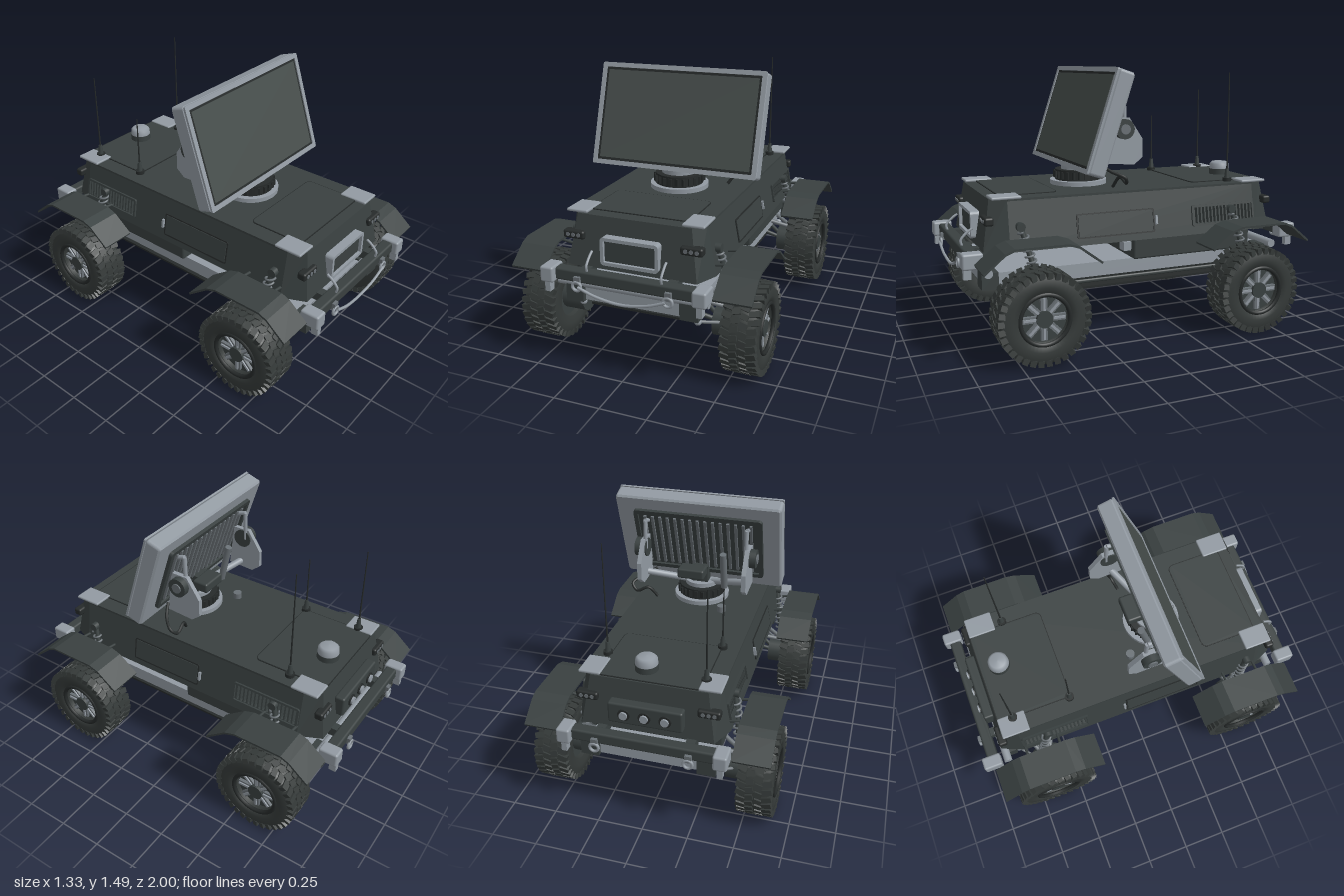
import * as THREE from 'three';
import { mergeGeometries } from 'three/addons/utils/BufferGeometryUtils.js';
import { RoundedBoxGeometry } from 'three/addons/geometries/RoundedBoxGeometry.js';

const paint = (name, color) => Object.assign(new THREE.MeshStandardMaterial({ color }), { name });
const V = (x, y, z) => new THREE.Vector3(x, y, z);

export function createModel() {
  const hull = paint('hull charcoal', 0x394040), screenMat = paint('screen grey', 0x474e4c);
  const light = paint('light grey', 0x929aa2), mid = paint('mid grey', 0x697075);
  const rubber = paint('rubber', 0x353a39), black = paint('black', 0x262a2a);
  const model = new THREE.Group();
  model.name = 'roverVehicle';

  const add = (name, mat, geo, parent = model) => {
    const m = new THREE.Mesh(geo, mat);
    m.name = name;
    parent.add(m);
    return m;
  };
  const box = (name, mat, [w, h, d], [x, y, z], parent) =>
    add(name, mat, new THREE.BoxGeometry(w, h, d).translate(x, y, z), parent);
  const round = (name, mat, [w, h, d], [x, y, z], parent, r = 0.012) =>
    add(name, mat, new RoundedBoxGeometry(w, h, d, 2, r).translate(x, y, z), parent);
  const rod = (name, mat, a, b, r, parent, r2 = r) => {
    const dir = b.clone().sub(a);
    const m = add(name, mat, new THREE.CylinderGeometry(r2, r, dir.length(), 20), parent);
    m.position.copy(a).add(b).multiplyScalar(0.5);
    m.quaternion.setFromUnitVectors(V(0, 1, 0), dir.normalize());
    return m;
  };
  const tube = (name, mat, pts, r, parent, n = 40) =>
    add(name, mat, new THREE.TubeGeometry(new THREE.CatmullRomCurve3(pts), n, r, 8), parent);
  const poly = (pts) => new THREE.Shape(pts.map(([a, b]) => new THREE.Vector2(a, b)));
  // Extrudes a (z, y) outline across x
  const sideExtrude = (shape, x0, x1) =>
    new THREE.ExtrudeGeometry(shape, { depth: x1 - x0, bevelEnabled: false }).rotateY(-Math.PI / 2).translate(x1, 0, 0);
  // Rounded rectangular outline, optionally hollow
  const rectShape = (w, h, r) => {
    const s = new THREE.Shape(), a = w / 2 - r, b = h / 2 - r;
    s.absarc(a, b, r, 0, Math.PI / 2).absarc(-a, b, r, Math.PI / 2, Math.PI);
    s.absarc(-a, -b, r, Math.PI, Math.PI * 1.5).absarc(a, -b, r, Math.PI * 1.5, Math.PI * 2);
    return s;
  };
  const frameGeo = (w, h, t, depth, r = 0.02) => {
    const s = rectShape(w, h, r);
    s.holes.push(rectShape(w - 2 * t, h - 2 * t, Math.max(r - t, 0.004)));
    return new THREE.ExtrudeGeometry(s, { depth, bevelEnabled: false, curveSegments: 5 });
  };

  // Hull with vent slots running through it and tapered sides
  const halfWidth = (y) => 0.415 - ((y - 0.55) / 0.27) * 0.05;
  const outline = poly([[-0.74, 0.55], [0.74, 0.55], [0.74, 0.82], [-0.74, 0.82]]);
  for (let i = 0; i < 16; i++) {
    const z = -0.35 - i * 0.0235;
    outline.holes.push(poly([[z, 0.61], [z, 0.7], [z - 0.014, 0.7], [z - 0.014, 0.61]]));
  }
  const hullGeo = sideExtrude(outline, -1, 1), hp = hullGeo.attributes.position;
  for (let i = 0; i < hp.count; i++) hp.setX(i, hp.getX(i) * halfWidth(hp.getY(i)));
  hullGeo.computeVertexNormals();
  add('hull', hull, hullGeo);
  box('deckLip', hull, [0.745, 0.012, 1.48], [0, 0.819, 0]);

  // Both ends: hull nose, bumper, tow hooks and corner caps
  for (const s of [1, -1]) {
    const end = new THREE.Group();
    end.name = s > 0 ? 'frontEnd' : 'rearEnd';
    end.rotation.y = s > 0 ? 0 : Math.PI;
    model.add(end);
    const nose = new THREE.BoxGeometry(2, 0.27, 1).toNonIndexed(), p = nose.attributes.position;
    for (let i = 0; i < p.count; i++) {
      const top = p.getY(i) > 0, out = p.getZ(i) > 0, y = top ? 0.82 : 0.55;
      p.setXYZ(i, p.getX(i) * halfWidth(y) * (out ? 0.86 : 1), y, out ? (top ? 0.825 : 0.87) : 0.74);
    }
    nose.computeVertexNormals();
    add('nose', hull, nose, end);
    round('bumper', hull, [0.78, 0.065, 0.065], [0, 0.53, 0.935], end);
    rod('crossTube', light, V(-0.42, 0.45, 0.86), V(0.42, 0.45, 0.86), 0.024, end);
    box('chassisEnd', light, [0.54, 0.07, 0.02], [0, 0.39, 0.85], end);
    for (const x of [-1, 1]) {
      round('bumperBlock', light, [0.075, 0.085, 0.11], [x * 0.415, 0.53, 0.945], end);
      box('blockStem', light, [0.03, 0.07, 0.04], [x * 0.415, 0.47, 0.97], end);
      box('bumperMount', hull, [0.05, 0.05, 0.1], [x * 0.24, 0.53, 0.88], end);
      box('chassisCorner', hull, [0.1, 0.09, 0.09], [x * 0.32, 0.395, 0.84], end);
      add('towRing', light, new THREE.TorusGeometry(0.024, 0.008, 8, 20).translate(x * 0.25, 0.485, 0.982), end);
      box('towLug', mid, [0.035, 0.04, 0.03], [x * 0.25, 0.515, 0.97], end);
      round('cornerCap', light, [0.12, 0.016, 0.16], [x * 0.32, 0.83, 0.745], end, 0.007);
      round('cornerLamp', black, [0.12, 0.045, 0.05], [x * 0.325, 0.712, 0.84], end);
      for (const k of [-1, 0, 1]) rod('lampBulb', mid, V(x * 0.325 + k * 0.03, 0.712, 0.86), V(x * 0.325 + k * 0.03, 0.712, 0.868), 0.011, end);
    }
  }
  // Front grille window, handles and sagging tow cable
  add('windowFrame', light, frameGeo(0.32, 0.15, 0.018, 0.05).translate(0, 0.655, 0.84));
  box('windowPane', hull, [0.29, 0.12, 0.03], [0, 0.655, 0.858]);
  for (const x of [-0.205, 0.205])
    tube('frontHandle', light, [V(x, 0.56, 0.95), V(x, 0.59, 0.955), V(x, 0.63, 0.92), V(x, 0.65, 0.89)], 0.007);
  tube('towCable', light, [V(-0.24, 0.485, 0.99), V(-0.14, 0.45, 0.99), V(0, 0.428, 0.985), V(0.14, 0.45, 0.99), V(0.24, 0.485, 0.99)], 0.008);
  // Rear connector panel
  round('rearPanel', hull, [0.4, 0.12, 0.06], [0, 0.66, -0.87]);
  for (const x of [-0.11, 0, 0.11]) {
    rod('portRing', black, V(x, 0.66, -0.89), V(x, 0.66, -0.908), 0.033);
    rod('port', light, V(x, 0.66, -0.9), V(x, 0.66, -0.918), 0.022);
  }

  // Chassis, belly plates and battery box
  box('chassis', light, [0.68, 0.08, 1.68], [0, 0.39, 0]);
  box('chassisUnderside', black, [0.64, 0.02, 1.6], [0, 0.343, 0]);
  round('bellyPlate', hull, [0.59, 0.024, 1.5], [0, 0.312, 0], model, 0.01);
  box('skidPlate', black, [0.6, 0.012, 1.5], [0, 0.278, 0]);
  round('batteryBox', hull, [0.74, 0.125, 0.75], [0, 0.49, -0.355]);
  for (const x of [-0.3, 0.3]) box('batteryLatch', light, [0.06, 0.05, 0.05], [x, 0.497, 0.04]);

  // Deck panels
  for (const [d, z, h] of [[0.32, 0.6, 0.006], [0.43, -0.605, 0.006]]) {
    const panel = new THREE.ExtrudeGeometry(rectShape(0.55, d, 0.03), { depth: h, bevelEnabled: false });
    add('deckPanel', hull, panel.rotateX(-Math.PI / 2).translate(0, 0.825, z));
    add('panelSeam', black, frameGeo(0.56, d + 0.01, 0.008, 0.004, 0.034).rotateX(-Math.PI / 2).translate(0, 0.826, z));
  }
  // Side doors, latches and vent frames
  for (const s of [1, -1]) {
    const side = new THREE.Group();
    side.name = s > 0 ? 'leftSide' : 'rightSide';
    side.position.set(s * halfWidth(0.652), 0.652, 0);
    side.rotation.set(0, s * Math.PI / 2, 0);
    model.add(side);
    const tilt = new THREE.Group();
    tilt.rotation.x = -0.183;
    side.add(tilt);
    add('doorSeam', black, frameGeo(0.46, 0.135, 0.008, 0.005, 0.012).translate(-s * 0.14, 0, 0), tilt);
    box('doorPanel', hull, [0.44, 0.115, 0.012], [-s * 0.14, 0, 0], tilt);
    box('doorLatch', light, [0.012, 0.05, 0.02], [s * 0.1, 0, 0.005], tilt);
    add('ventFrame', hull, frameGeo(0.41, 0.12, 0.012, 0.012, 0.012).translate(s * 0.531, 0.003, 0), tilt);
  }

  // Wheel, outward along +x
  const tread = [];
  for (let i = 0; i < 34; i++) for (let k = 0; k < 4; k++) {
    const edge = k === 0 || k === 3;
    const g = new THREE.BoxGeometry(edge ? 0.052 : 0.042, edge ? 0.034 : 0.022, 0.03);
    g.rotateY((k % 2 ? 1 : -1) * 0.25).translate(-0.069 + k * 0.046, edge ? 0.228 : 0.236, 0);
    tread.push(g.rotateX(((i + (k % 2) / 2) / 34) * Math.PI * 2));
  }
  const treadGeo = mergeGeometries(tread);
  const lathe = (pts, n = 48) =>
    new THREE.LatheGeometry(pts.map(([r, x]) => new THREE.Vector2(r, x)), n).rotateZ(-Math.PI / 2);
  const tyreGeo = lathe([[0.13, -0.085], [0.17, -0.094], [0.215, -0.092], [0.236, -0.075], [0.238, 0],
    [0.236, 0.075], [0.215, 0.092], [0.17, 0.094], [0.13, 0.085], [0.125, 0.04], [0.125, -0.04], [0.13, -0.085]]);
  const ringGeo = new THREE.TorusGeometry(0.131, 0.012, 8, 40).rotateY(Math.PI / 2).translate(0.084, 0, 0);
  const makeWheel = (s, x, z) => {
    const w = new THREE.Group();
    w.name = 'wheel';
    w.position.set(s * x, 0.25, z);
    w.rotation.y = s > 0 ? 0 : Math.PI;
    model.add(w);
    add('tyre', rubber, tyreGeo, w);
    add('tread', rubber, treadGeo, w);
    add('rimEdge', black, ringGeo, w);
    rod('rimDisc', hull, V(-0.06, 0, 0), V(0.045, 0, 0), 0.127, w);
    for (let i = 0; i < 8; i++) {
      const spoke = new THREE.Group();
      spoke.rotation.x = (i * Math.PI) / 4;
      w.add(spoke);
      box('spoke', mid, [0.025, 0.08, 0.034], [0.05, 0.075, 0], spoke);
      box('spokeRidge', light, [0.012, 0.07, 0.012], [0.064, 0.075, 0], spoke);
    }
    rod('hubCap', hull, V(0.04, 0, 0), V(0.08, 0, 0), 0.044, w);
    rod('hubMotor', hull, V(-0.19, 0, 0), V(-0.05, 0, 0), 0.08, w);
  };

  // Wheels, fenders, springs and arms at each corner
  const arch = [[0.31, 0.52], [0.2, 0.61], [0.15, 0.63], [-0.13, 0.63], [-0.19, 0.61], [-0.31, 0.52]];
  for (const s of [1, -1]) for (const f of [1, -1]) {
    const z = f * 0.632;
    makeWheel(s, 0.567, z);
    const lower = arch.map(([a, y]) => [a * 0.985, y - 0.011]).reverse();
    const fender = poly([...arch, ...lower].map(([a, y]) => [z + f * a, y]));
    add('fender', hull, sideExtrude(fender, s > 0 ? 0.462 : -0.66, s > 0 ? 0.66 : -0.462));
    for (const d of [-0.1, 0.1]) rod('fenderStay', hull, V(s * 0.37, 0.6, z + d), V(s * 0.48, 0.618, z + d), 0.008);
    // Coil spring strut
    const a = V(s * 0.395, 0.69, z + 0.05), b = V(s * 0.45, 0.38, z - 0.03), coil = [];
    for (let i = 0; i <= 84; i++) {
      const t = i / 12 * Math.PI * 2;
      coil.push(a.clone().lerp(b, 0.12 + 0.7 * i / 84).add(V(Math.cos(t) * 0.025, 0, Math.sin(t) * 0.025)));
    }
    tube('spring', mid, coil, 0.006, model, 160);
    rod('damper', hull, a, b, 0.014);
    rod('springCap', hull, V(s * 0.36, 0.68, z + 0.05), V(s * 0.42, 0.68, z + 0.05), 0.024);
    for (const d of [-0.07, 0.07]) {
      rod('upperArm', mid, V(s * 0.33, 0.385, z + d), V(s * 0.47, 0.33, z), 0.013);
      rod('lowerArm', hull, V(s * 0.29, 0.31, z + d), V(s * 0.42, 0.24, z), 0.013);
    }
    add('steerBall', light, new THREE.SphereGeometry(0.02, 16, 12).translate(s * 0.33, 0.3, z + f * 0.15));
    rod('steerLink', mid, V(s * 0.33, 0.3, z + f * 0.15), V(s * 0.43, 0.27, z + f * 0.06), 0.009);
  }

  // Turntable pedestal
  const disc = (name, mat, r, y0, y1) => add(name, mat, new THREE.CylinderGeometry(r, r, y1 - y0, 40).translate(0, (y0 + y1) / 2, 0.215));
  disc('turntableBase', light, 0.165, 0.82, 0.85);
  disc('turntableRing', black, 0.135, 0.85, 0.91);
  for (let i = 0; i < 24; i++) {
    const a = i / 24 * Math.PI * 2;
    add('ringLug', black, new THREE.BoxGeometry(0.012, 0.04, 0.02).rotateY(a).translate(Math.cos(a) * 0.136, 0.88, 0.215 + Math.sin(a) * 0.136));
  }
  disc('turntableTop', light, 0.1, 0.91, 0.935);

  // Tilted display
  const display = new THREE.Group();
  display.name = 'display';
  display.position.set(0, 1.205, 0.21);
  display.rotation.x = -0.315;
  model.add(display);
  add('displayFrame', light, new THREE.ExtrudeGeometry(rectShape(0.95, 0.56, 0.008), {
    depth: 0.076, bevelSize: 0.01, bevelThickness: 0.01, bevelSegments: 1, curveSegments: 3 }).translate(0, 0, -0.048), display);
  box('screenBorder', black, [0.92, 0.53, 0.006], [0, 0, 0.039], display);
  box('screen', screenMat, [0.89, 0.5, 0.006], [0, 0, 0.042], display);
  add('displayRim', light, frameGeo(0.97, 0.58, 0.026, 0.012, 0.01).translate(0, 0, 0.036), display);
  box('backPanel', hull, [0.74, 0.4, 0.008], [0, 0, -0.06], display);
  for (let i = 0; i < 15; i++) box('coolingFin', mid, [0.016, 0.34, 0.016], [-0.315 + i * 0.045, 0, -0.068], display);
  add('backFrame', hull, frameGeo(0.76, 0.42, 0.025, 0.02).translate(0, 0, -0.078), display);

  // Yoke carrying the display
  const plate = poly([[0.16, 0.97], [0, 0.96], [-0.05, 1], [-0.05, 1.1], [0.03, 1.22], [0.13, 1.22]]);
  for (const s of [1, -1]) {
    add('yokePlate', light, sideExtrude(plate, s * 0.31 - 0.013, s * 0.31 + 0.013));
    rod('pivotKnob', hull, V(s * 0.29, 1.16, 0.07), V(s * 0.36, 1.16, 0.07), 0.055);
    rod('pivotBolt', mid, V(s * 0.36, 1.16, 0.07), V(s * 0.367, 1.16, 0.07), 0.028);
    rod('tiltStrut', light, V(s * 0.3, 1.16, 0.05), V(s * 0.3, 1.33, 0.055), 0.012);
    rod('strutTop', light, V(s * 0.3, 1.33, 0.055), V(s * 0.3, 1.31, 0.12), 0.012);
    rod('yokeArm', light, V(s * 0.07, 0.925, 0.2), V(s * 0.31, 1.0, 0.08), 0.02);
  }
  box('yokePost', hull, [0.1, 0.13, 0.07], [0, 0.97, 0.19]);
  round('controlBox', hull, [0.16, 0.06, 0.1], [0.03, 1.02, 0.1]);
  rod('tiltActuator', mid, V(-0.16, 0.93, 0.13), V(-0.16, 1.16, 0.08), 0.02);
  rod('cableSocket', mid, V(-0.17, 0.825, 0.02), V(-0.17, 0.86, 0.02), 0.025);
  tube('displayCable', black, [V(0.25, 0.83, 0.1), V(0.3, 0.89, 0.08), V(0.37, 0.865, 0.07), V(0.405, 0.9, 0.09), V(0.36, 0.93, 0.15), V(0.28, 0.97, 0.2)], 0.009);

  // Whip antennas and positioning dome
  for (const [x, z, top] of [[-0.28, -0.395, 1.18], [0.295, -0.615, 1.46], [-0.28, -0.735, 1.34]]) {
    rod('antennaFoot', black, V(x, 0.82, z), V(x, 0.845, z), 0.026);
    rod('antennaBase', hull, V(x, 0.845, z), V(x, 0.9, z), 0.016, model, 0.01);
    rod('antennaWhip', black, V(x, 0.9, z), V(x, top, z), 0.005, model, 0.003);
  }
  rod('domeBase', hull, V(0.045, 0.82, -0.71), V(0.045, 0.865, -0.71), 0.062);
  add('dome', light, new THREE.LatheGeometry([[0.06, 0.865], [0.058, 0.895], [0.045, 0.908], [0, 0.912]]
    .map(([r, y]) => new THREE.Vector2(r, y)), 32).translate(0.045, 0, -0.71));
  return model;
}
